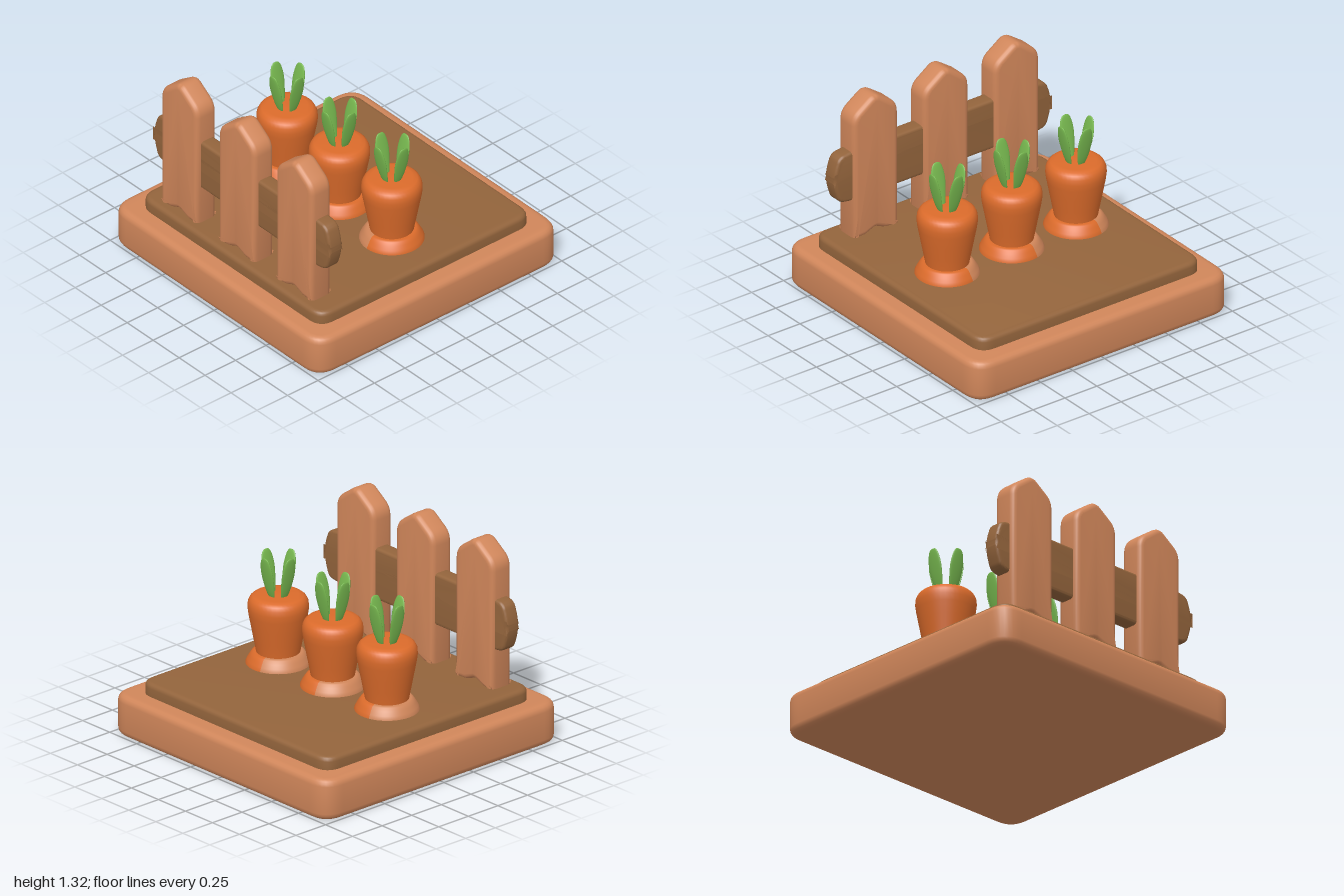
import * as THREE from 'three';
import { toCreasedNormals } from 'three/addons/utils/BufferGeometryUtils.js';

const paint = (name, color) => {
  const m = new THREE.MeshStandardMaterial({ color });
  m.name = name;
  return m;
};

// Closed outline with every corner [x, y, radius] rounded off
function roundedShape(corners) {
  const s = new THREE.Shape();
  const n = corners.length;
  const toward = (a, b, d) => {
    const len = Math.hypot(b[0] - a[0], b[1] - a[1]);
    return [a[0] + (b[0] - a[0]) * d / len, a[1] + (b[1] - a[1]) * d / len];
  };
  corners.forEach((c, i) => {
    const p = toward(c, corners[(i + n - 1) % n], c[2]);
    const q = toward(c, corners[(i + 1) % n], c[2]);
    if (i === 0) s.moveTo(...p); else s.lineTo(...p);
    s.quadraticCurveTo(c[0], c[1], ...q);
  });
  s.closePath();
  return s;
}

// Soft-edged plate, centred on its depth
function softPlate(shape, depth, bevel) {
  const g = new THREE.ExtrudeGeometry(shape, {
    depth: depth - 2 * bevel, bevelThickness: bevel, bevelSize: bevel,
    bevelOffset: -bevel, bevelSegments: 4, curveSegments: 8,
  });
  g.translate(0, 0, bevel - depth / 2);
  return toCreasedNormals(g, 0.7);
}

// Square slab lying flat between two heights
function slab(half, radius, y0, y1, bevel) {
  const h = half, r = radius;
  const g = softPlate(roundedShape([[-h, -h, r], [h, -h, r], [h, h, r], [-h, h, r]]), y1 - y0, bevel);
  return g.rotateX(-Math.PI / 2).translate(0, (y0 + y1) / 2, 0);
}

// Paddle leaf that curves outward toward +z
function leafGeometry() {
  const g = new THREE.SphereGeometry(1, 20, 20);
  const p = g.attributes.position;
  for (let i = 0; i < p.count; i++) {
    const x = p.getX(i), y = p.getY(i), z = p.getZ(i);
    const t = (y + 1) / 2;
    const full = Math.pow(Math.max(Math.hypot(x, z), 1e-5), -0.35);
    p.setXYZ(i, x * full * 0.055 * (0.65 + 0.35 * Math.min(1, t * 1.6)),
      0.79 + 0.3 * t, z * full * 0.013 + 0.045 + 0.07 * Math.pow(t, 0.75));
  }
  g.computeVertexNormals();
  return g;
}

function lathe(points, start = 0, length = Math.PI * 2) {
  return new THREE.LatheGeometry(points.map(([r, y]) => new THREE.Vector2(r, y)), 40, start, length);
}

export function createModel() {
  const wood = paint('light wood', 0xd0865a);
  const soilBrown = paint('soil brown', 0x93643c);
  const orange = paint('carrot orange', 0xdb6b2b);
  const green = paint('leaf green', 0x77b84f);

  const model = new THREE.Group();
  model.name = 'carrotPatch';
  const add = (parent, name, geometry, material) => {
    const mesh = new THREE.Mesh(geometry, material);
    mesh.name = name;
    parent.add(mesh);
    return mesh;
  };

  // Tray and soil bed
  add(model, 'tray', slab(1, 0.15, 0, 0.275, 0.045), wood);
  add(model, 'soilBed', slab(0.87, 0.11, 0.2, 0.36, 0.03), soilBrown);

  // Fence pickets with pointed tops and notched feet
  const fence = new THREE.Group();
  fence.name = 'fence';
  model.add(fence);
  const w = 0.176;
  const picket = softPlate(roundedShape([
    [-w, 0.345, 0.01], [-0.08, 0.35, 0.02], [0, 0.385, 0.02], [0.08, 0.35, 0.02], [w, 0.345, 0.01],
    [w, 1.215, 0.06], [0, 1.338, 0.05], [-w, 1.215, 0.06],
  ]), 0.165, 0.035);
  for (const x of [-0.565, -0.012, 0.54]) {
    add(fence, 'picket', picket, wood).position.set(x, 0, 0.728);
  }

  // Cross rail with tapered ends
  const rail = softPlate(roundedShape([
    [-0.72, 0.62, 0.04], [0.72, 0.62, 0.04], [0.81, 0.635, 0.04], [0.85, 0.76, 0.06], [0.85, 0.84, 0.06],
    [0.81, 0.955, 0.04], [0.72, 0.97, 0.04], [-0.72, 0.97, 0.04], [-0.81, 0.955, 0.04],
    [-0.85, 0.84, 0.06], [-0.85, 0.76, 0.06], [-0.81, 0.635, 0.04],
  ]), 0.108, 0.02);
  add(fence, 'rail', rail, soilBrown).position.z = 0.722;

  // Carrots: tapered root, two-tone collar and four leaves
  const root = lathe([
    [0.13, 0.35], [0.138, 0.43], [0.155, 0.52], [0.172, 0.61], [0.187, 0.69], [0.193, 0.735],
    [0.19, 0.77], [0.178, 0.795], [0.16, 0.81], [0.13, 0.817], [0, 0.82],
  ]);
  const collar = [[0.206, 0.345], [0.205, 0.365], [0.195, 0.385], [0.18, 0.41], [0.166, 0.43], [0.152, 0.436], [0.12, 0.436]];
  const split = Math.PI + 0.25;
  const collarFront = lathe(collar, 0, split);
  const collarBack = lathe(collar, split, Math.PI * 2 - split);
  const leaf = leafGeometry();
  for (const x of [-0.508, -0.005, 0.5]) {
    const carrot = new THREE.Group();
    carrot.name = 'carrot';
    carrot.position.set(x, 0, -0.032);
    add(carrot, 'root', root, orange);
    add(carrot, 'collarOrangeSide', collarFront, orange);
    add(carrot, 'collarWoodSide', collarBack, wood);
    for (let i = 0; i < 4; i++) add(carrot, 'leaf', leaf, green).rotation.y = i * Math.PI / 2;
    model.add(carrot);
  }
  return model;
}
